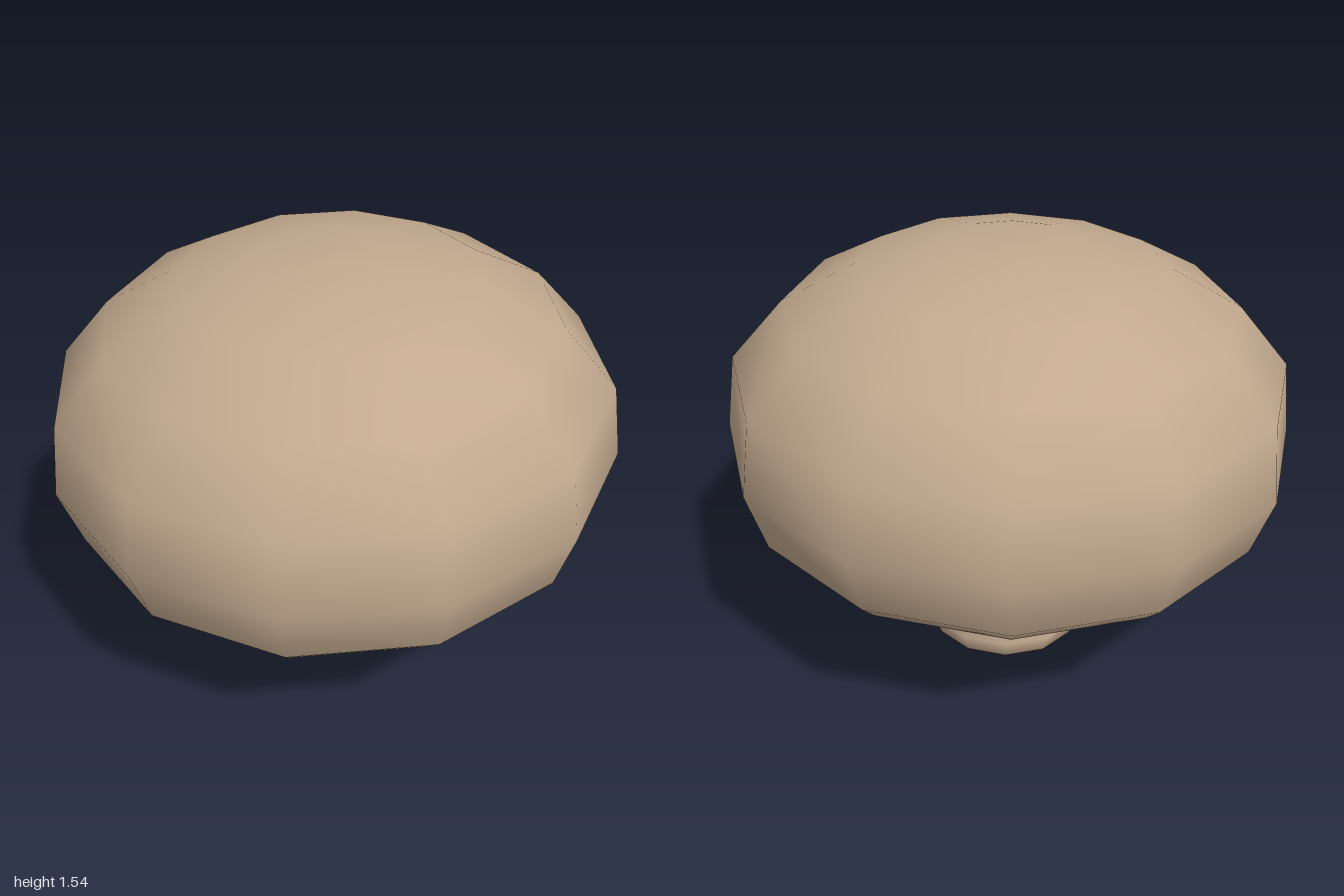
import * as THREE from 'three';

const SIDES = 12;

function lathe(name, profile, material) {
  const points = profile.map(([r, y]) => new THREE.Vector2(r, y));
  const mesh = new THREE.Mesh(new THREE.LatheGeometry(points, SIDES), material);
  mesh.name = name;
  return mesh;
}

export function createModel() {
  const skin = new THREE.MeshStandardMaterial({ color: 0xc2a98e });
  skin.name = 'mushroom tan';
  const pale = new THREE.MeshStandardMaterial({ color: 0xe0d6bc });
  pale.name = 'pale gills';

  const mushroom = new THREE.Group();
  mushroom.name = 'mushroom';

  // Cap: hollow underside, rolled rim, then the dome up to the crown
  mushroom.add(lathe('cap', [
    [0.58, 0.86], [0.76, 0.73], [0.83, 0.59],
    [0.865, 0.565], [0.93, 0.63], [1.0, 0.845], [0.967, 1.107],
    [0.785, 1.32], [0.53, 1.46], [0.268, 1.522], [0, 1.535],
  ], skin));

  // Flat gill disc closing the hollow, facing down
  const gills = new THREE.Mesh(new THREE.CircleGeometry(0.59, SIDES), pale);
  gills.name = 'gills';
  gills.rotation.x = Math.PI / 2;
  gills.position.y = 0.86;
  mushroom.add(gills);

  // Stem: bulbous foot, narrow waist, flared top
  mushroom.add(lathe('stem', [
    [0, 0], [0.245, 0], [0.28, 0.03], [0.306, 0.1],
    [0.245, 0.36], [0.242, 0.57], [0.32, 0.83], [0.31, 0.87],
  ], skin));

  // The whole mushroom leans slightly
  mushroom.rotation.z = 0.025;
  mushroom.position.set(0.021, 0.006, 0);

  const model = new THREE.Group();
  model.name = 'model';
  model.add(mushroom);
  return model;
}
